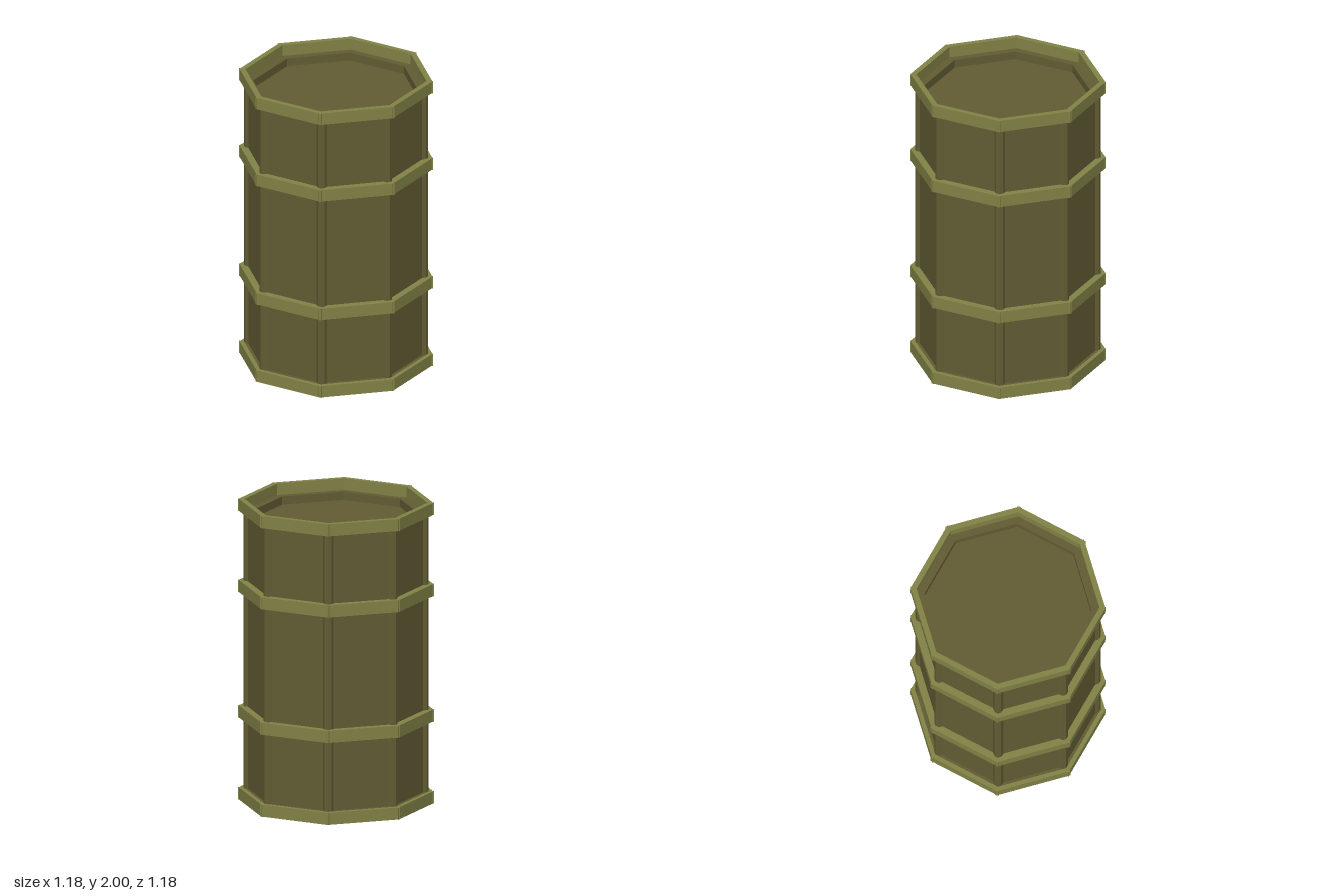
import * as THREE from 'three';

const SIDES = 8;
const TAN = Math.tan(Math.PI / SIDES);

// Rotate a 2D point (tangent, outward) onto the given side of the octagon
function onSide(i, tangent, outward) {
  const a = (i * 2 * Math.PI) / SIDES;
  return new THREE.Vector2(
    outward * Math.cos(a) - tangent * Math.sin(a),
    outward * Math.sin(a) + tangent * Math.cos(a)
  );
}

// Closed outline made by repeating one side's [tangent, outward] points
function outline(sidePoints) {
  const pts = [];
  for (let i = 0; i < SIDES; i++) {
    for (const [t, o] of sidePoints) pts.push(onSide(i, t, o));
  }
  return pts;
}

const octagon = (apothem) => outline([[-apothem * TAN, apothem]]);

// Upright prism between two heights, with an optional hole
function prism(name, points, hole, y0, y1, material) {
  const shape = new THREE.Shape(points);
  if (hole) shape.holes.push(new THREE.Path(hole));
  const geo = new THREE.ExtrudeGeometry(shape, { depth: y1 - y0, bevelEnabled: false });
  geo.rotateX(-Math.PI / 2);
  geo.translate(0, y0, 0);
  const mesh = new THREE.Mesh(geo, material);
  mesh.name = name;
  return mesh;
}

// Hoop of eight straight bars whose ends cross at the corners
function hoop(name, y0, inner, material) {
  const group = new THREE.Group();
  group.name = name;
  const outer = 0.583, height = 0.08;
  for (let i = 0; i < SIDES; i++) {
    const geo = new THREE.BoxGeometry(0.5, height, outer - inner);
    geo.translate(0, y0 + height / 2, (outer + inner) / 2);
    geo.rotateY((i * 2 * Math.PI) / SIDES);
    const bar = new THREE.Mesh(geo, material);
    bar.name = name + 'Bar';
    group.add(bar);
  }
  return group;
}

export function createModel() {
  const bodyOlive = new THREE.MeshStandardMaterial({ color: 0x625c33 });
  bodyOlive.name = 'bodyOlive';
  const hoopOlive = new THREE.MeshStandardMaterial({ color: 0x828247 });
  hoopOlive.name = 'hoopOlive';

  const model = new THREE.Group();
  model.name = 'barrel';

  // Wall with raised corner ribs and chamfered, sunken panels
  const a = 0.555, inset = 0.537, v = a * TAN;
  const wallOutline = outline([
    [-v, a], [-v + 0.023, a], [-v + 0.044, inset],
    [v - 0.044, inset], [v - 0.023, a],
  ]);
  model.add(prism('wall', wallOutline, octagon(0.5), 0.08, 1.92, bodyOlive));

  // Ledges inside both rims
  model.add(prism('topLedge', octagon(0.555), octagon(0.5), 1.919, 1.924, bodyOlive));
  model.add(prism('bottomLedge', octagon(0.555), octagon(0.5), 0.076, 0.081, bodyOlive));

  // Recessed lid and base
  model.add(prism('lid', octagon(0.503), null, 1.84, 1.87, bodyOlive));
  model.add(prism('base', octagon(0.503), null, 0.13, 0.16, bodyOlive));

  // Rims and middle hoops
  model.add(hoop('bottomRim', 0, 0.547, hoopOlive));
  model.add(hoop('lowerHoop', 0.545, 0.525, hoopOlive));
  model.add(hoop('upperHoop', 1.38, 0.525, hoopOlive));
  model.add(hoop('topRim', 1.92, 0.547, hoopOlive));

  return model;
}
